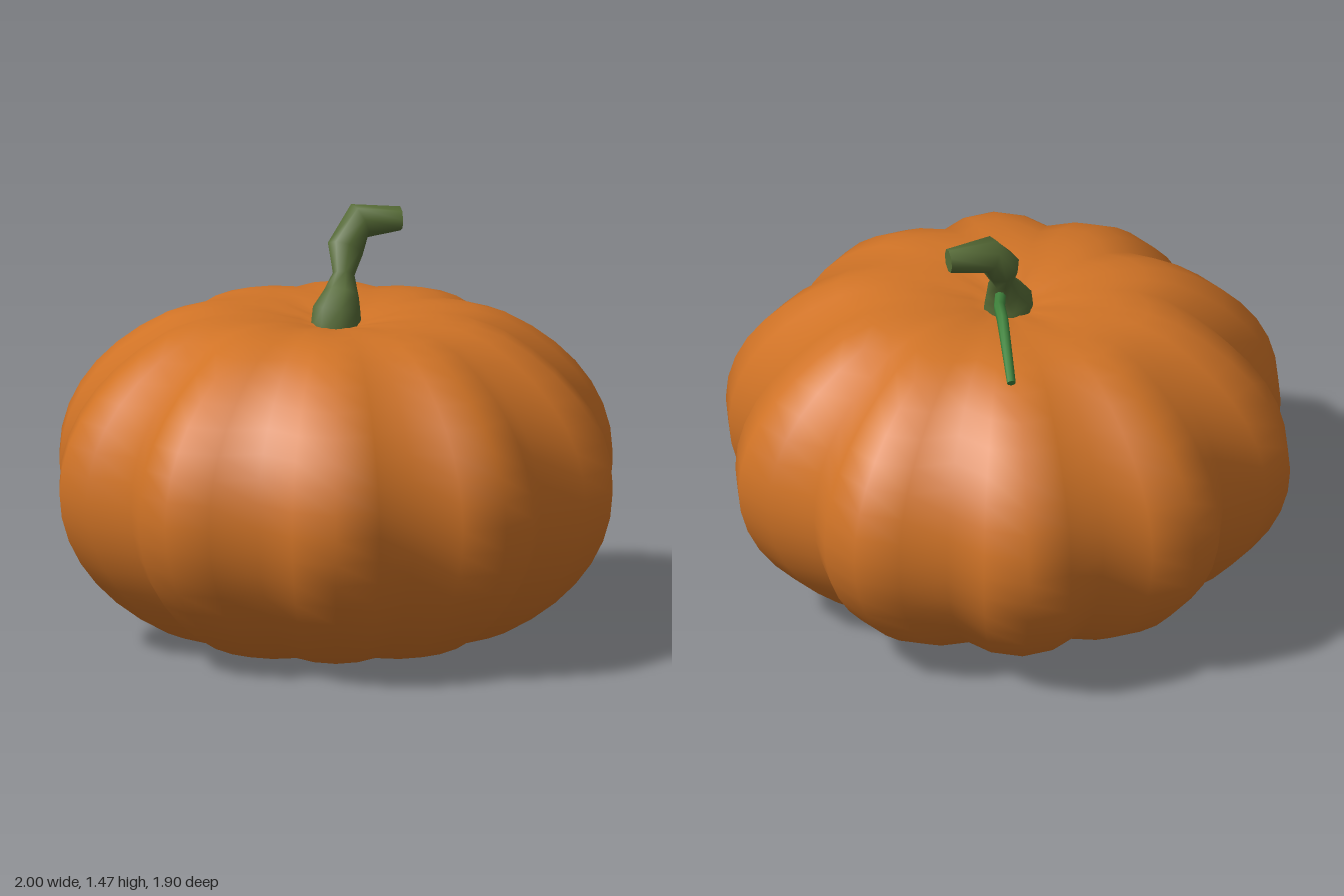
import * as THREE from 'three';
import { mergeVertices } from 'three/addons/utils/BufferGeometryUtils.js';

const orange = new THREE.MeshStandardMaterial({ name: 'pumpkin orange', color: 0xd07326 });
const stemGreen = new THREE.MeshStandardMaterial({ name: 'stem green', color: 0x566b36 });
const vineGreen = new THREE.MeshStandardMaterial({ name: 'vine green', color: 0x3f823c });

// Squashed ball with ten lobes and a dimple at both poles
function bodyGeometry() {
  const rows = 24, profile = [];
  for (let i = 0; i <= rows; i++) {
    const phi = (i / rows - 0.5) * Math.PI;
    const r = Math.max(0, Math.cos(phi));
    const dimple = 0.16 * Math.pow(Math.max(0, 1 - r / 0.6), 1.3);
    profile.push(new THREE.Vector2(r, 0.572 + 0.66 * Math.sin(phi) - Math.sign(phi) * dimple));
  }
  let geo = new THREE.LatheGeometry(profile, 40);
  const p = geo.attributes.position;
  for (let i = 0; i < p.count; i++) {
    const x = p.getX(i), z = p.getZ(i);
    const lobe = 0.873 + 0.127 * Math.abs(Math.cos(5 * Math.atan2(z, x)));
    p.setX(i, x * lobe);
    p.setZ(i, z * lobe);
  }
  geo.deleteAttribute('normal');
  geo.deleteAttribute('uv');
  geo = mergeVertices(geo, 1e-5);
  geo.computeVertexNormals();
  return geo;
}

// Tapered tube through stations [x, y, z, radius], closed at both ends
function sweep(stations, sides) {
  const centres = stations.map(s => new THREE.Vector3(s[0], s[1], s[2]));
  const last = centres.length - 1, up = new THREE.Vector3(0, 1, 0);
  const rings = centres.map((c, i) => {
    const dir = centres[Math.min(i + 1, last)].clone().sub(centres[Math.max(i - 1, 0)]).normalize();
    const q = new THREE.Quaternion().setFromUnitVectors(up, dir);
    return Array.from({ length: sides }, (_, j) => {
      const a = (j / sides) * Math.PI * 2;
      return new THREE.Vector3(Math.cos(a), 0, Math.sin(a))
        .multiplyScalar(stations[i][3]).applyQuaternion(q).add(c);
    });
  });
  const pos = [], index = [];
  const add = v => pos.push(v.x, v.y, v.z) / 3 - 1;
  rings.forEach(ring => ring.forEach(add));
  for (let i = 0; i < last; i++) {
    for (let j = 0; j < sides; j++) {
      const k = (j + 1) % sides;
      const a = i * sides + j, b = i * sides + k;
      index.push(a, a + sides, b, b, a + sides, b + sides);
    }
  }
  // End caps have their own vertices so the rims stay sharp
  for (const end of [0, last]) {
    const centre = add(centres[end]);
    const rim = rings[end].map(add);
    rim.forEach((v, j) => {
      const w = rim[(j + 1) % sides];
      if (end) index.push(centre, w, v);
      else index.push(centre, v, w);
    });
  }
  const geo = new THREE.BufferGeometry();
  geo.setAttribute('position', new THREE.Float32BufferAttribute(pos, 3));
  geo.setIndex(index);
  geo.computeVertexNormals();
  return geo;
}

export function createModel() {
  const model = new THREE.Group();
  model.name = 'pumpkin';
  const part = (name, geo, mat) => {
    const mesh = new THREE.Mesh(geo, mat);
    mesh.name = name;
    model.add(mesh);
  };

  part('body', bodyGeometry(), orange);

  // Stem: flared foot, pinched neck, thick bent tip
  part('stem', sweep([
    [0.02, 1.06, -0.015, 0.09],
    [0.025, 1.14, -0.015, 0.084],
    [0.06, 1.19, -0.02, 0.062],
    [0.093, 1.25, -0.035, 0.038],
    [0.13, 1.33, -0.055, 0.064],
    [0.205, 1.415, -0.05, 0.064],
    [0.315, 1.415, 0.045, 0.042],
  ], 8), stemGreen);

  // Thin tendril drooping from the neck onto the shell
  part('vine', sweep([
    [0.08, 1.19, -0.02, 0.02],
    [0.2, 1.215, -0.09, 0.02],
    [0.3, 1.238, -0.165, 0.02],
    [0.475, 1.12, -0.31, 0.015],
  ], 8), vineGreen);

  return model;
}
